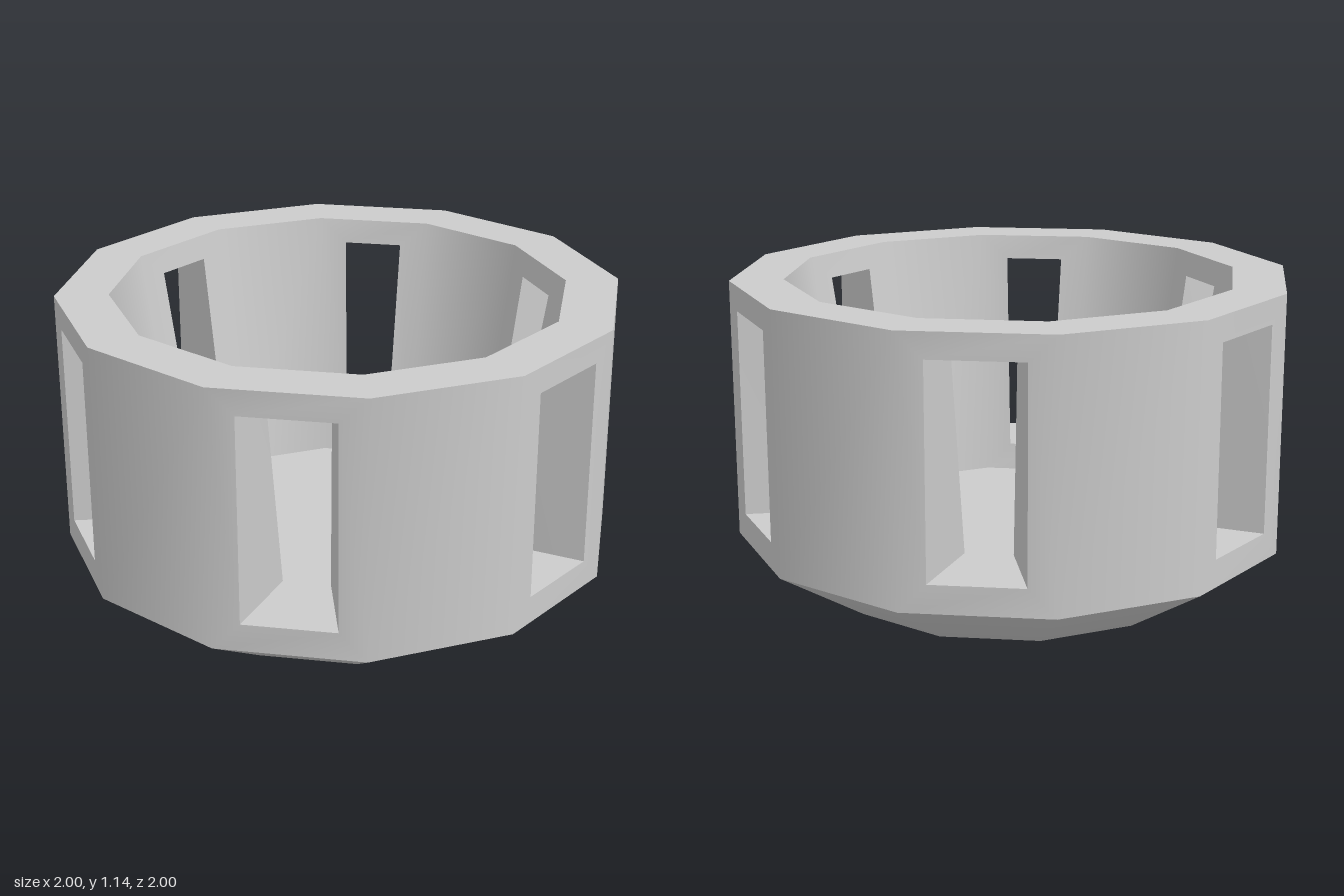
import * as THREE from 'three';
import { toCreasedNormals } from 'three/addons/utils/BufferGeometryUtils.js';

const SIDES = 12;
const STEP = (2 * Math.PI) / SIDES;
const BASE_R = 0.667, OUTER_R = 1, FLOOR_R = 0.664, RIM_R = 0.81;
const FLOOR_Y = 0.21, TOP_Y = 1.14;
const WIN_LOW = 0.31, WIN_HIGH = 1.05;

// Corner ring position: side = -1 / +1 end of facet i
const corner = (i, side, y, r) => {
  const a = STEP * (i + 0.5 + side / 2);
  return [r * Math.sin(a), y, r * Math.cos(a)];
};

// Point on facet i: t along the facet, d out from the axis
const onFacet = (i, t, y, r) => {
  const a = STEP * (i + 0.5), d = r * Math.cos(STEP / 2);
  return [d * Math.sin(a) + t * Math.cos(a), y, d * Math.cos(a) - t * Math.sin(a)];
};

function meshFrom(name, build) {
  const pos = [];
  const tri = (a, b, c) => pos.push(...a, ...b, ...c);
  const quad = (a, b, c, d) => { tri(a, b, c); tri(a, c, d); };
  for (let i = 0; i < SIDES; i++) build(i, quad, tri);
  const geo = new THREE.BufferGeometry();
  geo.setAttribute('position', new THREE.Float32BufferAttribute(pos, 3));
  const mesh = new THREE.Mesh(
    toCreasedNormals(geo, THREE.MathUtils.degToRad(40)),
    new THREE.MeshStandardMaterial({ color: 0xcccccc })
  );
  mesh.name = name;
  return mesh;
}

// Four corners of a facet, counter-clockwise from outside
const facet = (i, y0, r0, y1, r1) => [
  corner(i, -1, y0, r0), corner(i, 1, y0, r0), corner(i, 1, y1, r1), corner(i, -1, y1, r1),
];

// Rectangular or tapering opening in a facet
const opening = (i, w0, r0, w1, r1) => [
  onFacet(i, -w0, WIN_LOW, r0), onFacet(i, w0, WIN_LOW, r0),
  onFacet(i, w1, WIN_HIGH, r1), onFacet(i, -w1, WIN_HIGH, r1),
];

export function createModel() {
  const group = new THREE.Group();
  group.name = 'windowedBowl';
  const innerR = (y) => THREE.MathUtils.mapLinear(y, FLOOR_Y, TOP_Y, FLOOR_R, RIM_R);

  // Wall: outer and inner faces, rim, and a window through every other facet
  group.add(meshFrom('windowedWall', (i, quad) => {
    const out = facet(i, FLOOR_Y, OUTER_R, TOP_Y, OUTER_R);
    const inn = facet(i, FLOOR_Y, FLOOR_R, TOP_Y, RIM_R);
    quad(out[3], out[2], inn[2], inn[3]);
    if (i % 2) {
      quad(...out);
      quad(inn[3], inn[2], inn[1], inn[0]);
      return;
    }
    const winOut = opening(i, 0.163, OUTER_R, 0.163, OUTER_R);
    const winIn = opening(i, 0.083, innerR(WIN_LOW), 0.108, innerR(WIN_HIGH));
    for (let k = 0; k < 4; k++) {
      const n = (k + 1) % 4;
      quad(out[k], out[n], winOut[n], winOut[k]);
      quad(winOut[k], winOut[n], winIn[n], winIn[k]);
      quad(winIn[k], winIn[n], inn[n], inn[k]);
    }
  }));

  // Tapered foot with flat underside
  group.add(meshFrom('taperedBase', (i, quad, tri) => {
    const f = facet(i, 0, BASE_R, FLOOR_Y, OUTER_R);
    quad(...f);
    tri([0, 0, 0], f[1], f[0]);
  }));

  // Inside floor
  group.add(meshFrom('floor', (i, quad, tri) => {
    tri([0, FLOOR_Y, 0], corner(i, -1, FLOOR_Y, FLOOR_R), corner(i, 1, FLOOR_Y, FLOOR_R));
  }));

  return group;
}
